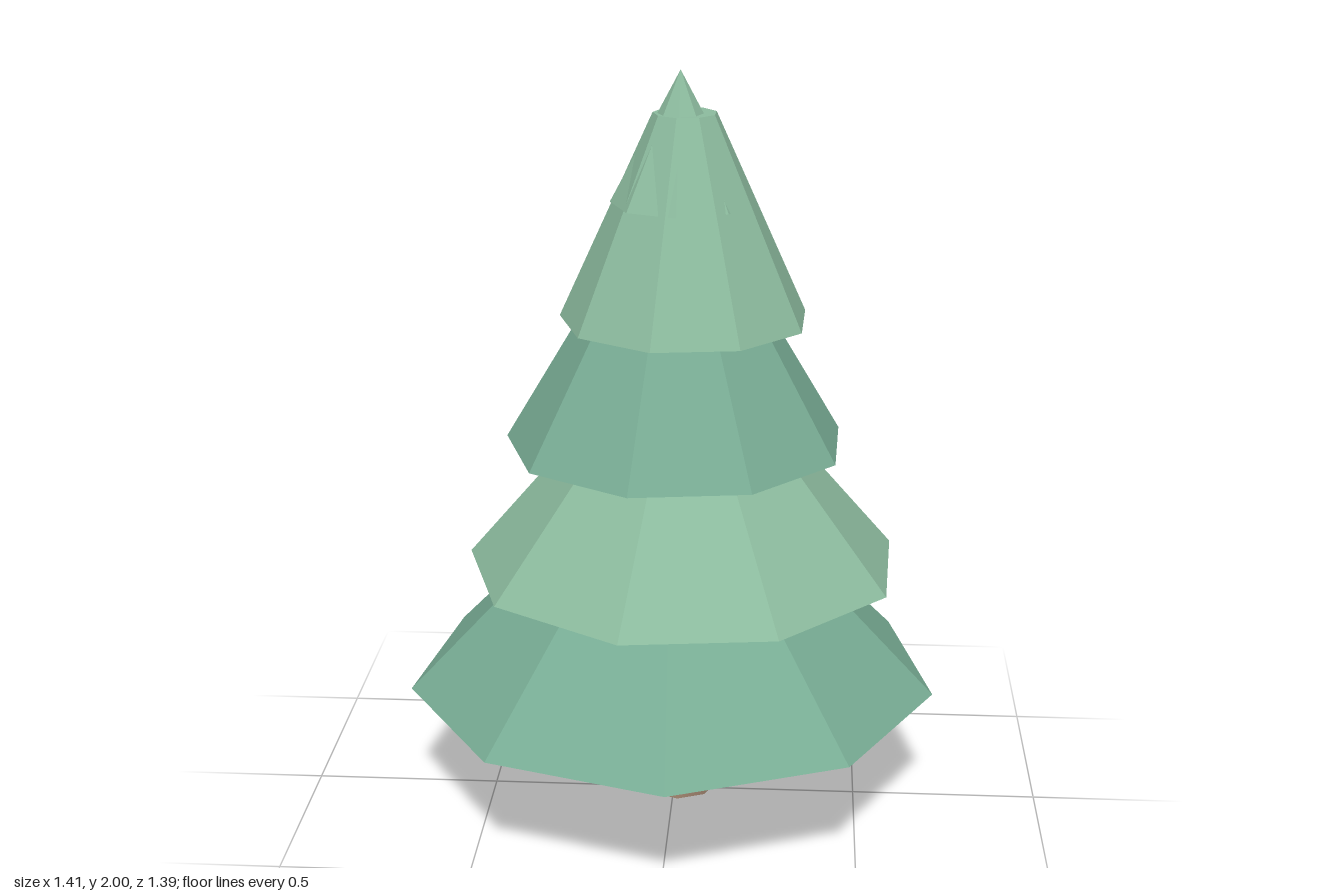
import * as THREE from 'three';
import { mergeVertices } from 'three/addons/utils/BufferGeometryUtils.js';

// [name, base y, top y, base radius, top radius, sides, turn in degrees, x, z, colour]
const TIERS = [
  ['bottomBranches', 0.345, 0.88, 0.715, 0.19, 9, 2, -0.005, -0.018, 0x78ac94],
  ['lowerBranches', 0.68, 1.21, 0.585, 0.135, 9, 27, 0.026, -0.02, 0x8cbb9e],
  ['upperBranches', 1.01, 1.55, 0.456, 0.135, 9, 28, 0.003, -0.048, 0x78ac94],
  ['topBranches', 1.35, 1.89, 0.33, 0.083, 9, 28, 0.026, -0.043, 0x8cbb9e],
  ['treeTip', 1.66, 2.0, 0.182, 0, 8, 0, 0.015, -0.033, 0x8cbb9e],
];

// Closed frustum standing between two heights
function frustum(y0, y1, r0, r1, sides, turn) {
  const g = new THREE.CylinderGeometry(r1, r0, y1 - y0, sides, 1, false, THREE.MathUtils.degToRad(turn));
  return g.translate(0, (y0 + y1) / 2, 0);
}

export function createModel() {
  const tree = new THREE.Group();
  tree.name = 'pineTree';

  // Faceted foliage, each tier slightly off the axis
  for (const [name, y0, y1, r0, r1, sides, turn, x, z, color] of TIERS) {
    const tier = new THREE.Mesh(
      frustum(y0, y1, r0, r1, sides, turn),
      new THREE.MeshStandardMaterial({ color, flatShading: true })
    );
    tier.name = name;
    tier.position.set(x, 0, z);
    tree.add(tier);
  }

  // Trunk, shaded smoothly right around its ends
  let bark = frustum(0, 0.5, 0.103, 0.07, 8, 0);
  bark.deleteAttribute('normal');
  bark.deleteAttribute('uv');
  bark = mergeVertices(bark, 1e-4);
  bark.computeVertexNormals();
  const trunk = new THREE.Mesh(bark, new THREE.MeshStandardMaterial({ color: 0xa88a74 }));
  trunk.name = 'trunk';
  trunk.position.set(0.014, 0, -0.033);
  tree.add(trunk);

  return tree;
}
